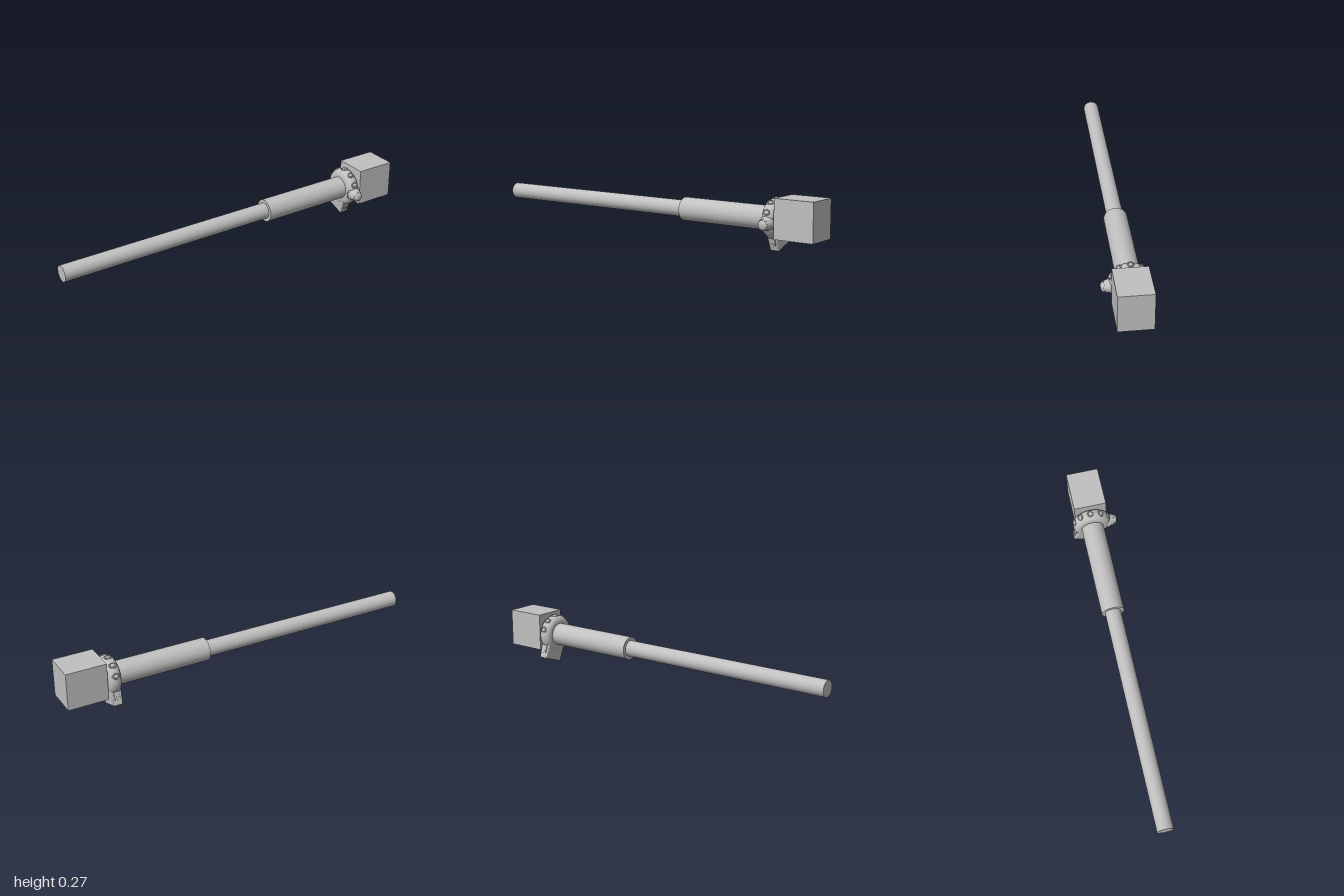
import * as THREE from 'three';
import { RoundedBoxGeometry } from 'three/addons/geometries/RoundedBoxGeometry.js';

const AXIS_Y = 0.16, AXIS_Z = -0.011, COLLAR_X = 0.745;

export function createModel() {
  const model = new THREE.Group();
  const grey = new THREE.MeshStandardMaterial({ color: 0xc0c0c0 });
  grey.name = 'plain grey';

  const add = (parent, name, geometry, x = 0, y = 0, z = 0) => {
    const mesh = new THREE.Mesh(geometry, grey);
    mesh.name = name;
    mesh.position.set(x, y, z);
    parent.add(mesh);
    return mesh;
  };
  const lathe = (points, segments = 32) =>
    new THREE.LatheGeometry(points.map(([r, h]) => new THREE.Vector2(r, h)), segments);

  // Shaft and sleeve along x
  const tube = (name, r, x0, x1) => add(model, name,
    new THREE.CylinderGeometry(r, r, x1 - x0, 48).rotateZ(-Math.PI / 2),
    (x0 + x1) / 2, AXIS_Y, AXIS_Z);
  tube('shaft', 0.043, -1, 0.21);
  tube('sleeve', 0.061, 0.2, 0.715);

  // End block
  add(model, 'endBlock', new THREE.BoxGeometry(0.215, 0.201, 0.175), 0.8925, 0.1735, -0.0075);

  // Round collar with a softly crowned rim
  const collar = new THREE.Group();
  collar.name = 'collar';
  collar.position.set(COLLAR_X, AXIS_Y, AXIS_Z);
  model.add(collar);
  add(collar, 'collarBody', lathe([
    [0, -0.035], [0.07, -0.035], [0.082, -0.033], [0.094, -0.026], [0.101, -0.014],
    [0.103, 0], [0.101, 0.014], [0.094, 0.026], [0.082, 0.033], [0.07, 0.035], [0, 0.035],
  ], 48).rotateZ(-Math.PI / 2));

  // A spoke's local +y points outwards at the given angle, measured from +z towards +y
  const spoke = (name, degrees) => {
    const group = new THREE.Group();
    group.name = name;
    group.rotation.x = THREE.MathUtils.degToRad(90 - degrees);
    collar.add(group);
    return group;
  };

  // Rim buttons: domed ovals in raised rings
  for (const degrees of [24, 58, 92, 126, 158]) {
    const button = spoke('rimButton', degrees);
    const ring = new THREE.TorusGeometry(0.015, 0.003, 8, 24).rotateX(Math.PI / 2);
    add(button, 'buttonRing', ring.scale(1.15, 1, 0.95), 0, 0.102, 0);
    add(button, 'buttonCap', new THREE.SphereGeometry(0.011, 20, 10).scale(1.15, 0.55, 0.9), 0, 0.102, 0);
  }

  // Large stepped knob with grip ribs
  const knob = spoke('knob', -8);
  add(knob, 'knobBody', lathe([
    [0, 0.08], [0.04, 0.08], [0.036, 0.098], [0.031, 0.105], [0.031, 0.116],
    [0.026, 0.119], [0.026, 0.129], [0.021, 0.136], [0.012, 0.14], [0, 0.141],
  ]));
  for (let i = 0; i < 10; i++) {
    const a = i * Math.PI / 5;
    const rib = add(knob, 'knobRib', new THREE.BoxGeometry(0.004, 0.012, 0.005),
      0.026 * Math.sin(a), 0.124, 0.026 * Math.cos(a));
    rib.rotation.y = a;
  }

  // Tapered tail hanging from the collar
  const tail = spoke('tail', -109);
  const tailShape = new RoundedBoxGeometry(0.068, 0.14, 0.124, 3, 0.007);
  const p = tailShape.attributes.position;
  for (let i = 0; i < p.count; i++) p.setX(i, p.getX(i) * (0.86 - 2 * p.getY(i)));
  tailShape.computeVertexNormals();
  add(tail, 'tailBody', tailShape, 0, 0.08, 0);

  // Side pads and end pin on the tail
  for (const side of [-1, 1]) {
    add(tail, 'sidePad', new RoundedBoxGeometry(0.03, 0.043, 0.01, 2, 0.002), 0, 0.098, side * 0.062);
    add(tail, 'sidePadRidge', new THREE.BoxGeometry(0.018, 0.006, 0.004), 0, 0.108, side * 0.068);
  }
  add(tail, 'endPin', new THREE.CylinderGeometry(0.008, 0.008, 0.006, 20), 0, 0.151, 0.043);

  return model;
}
